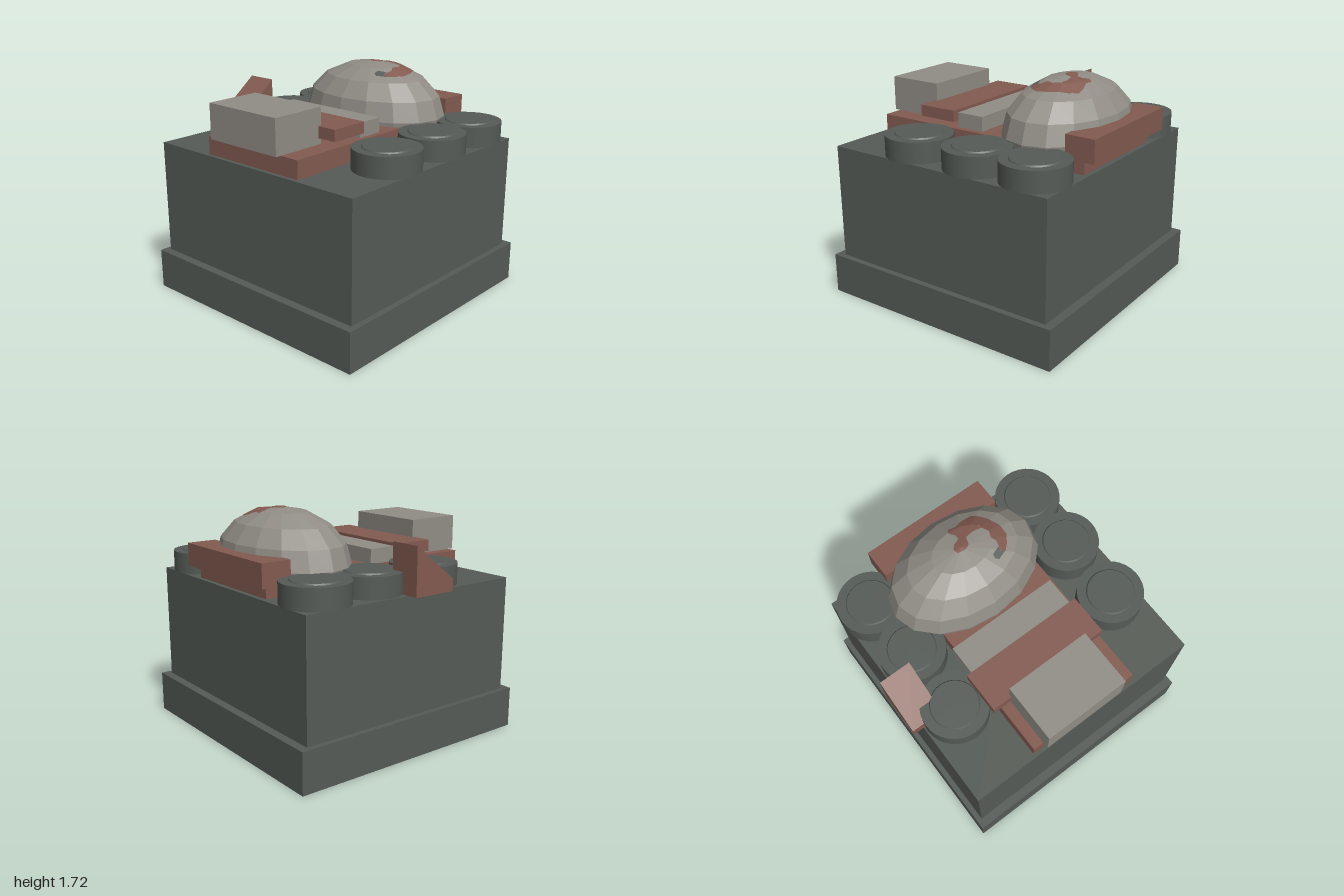
import * as THREE from 'three';

const mat = (name, color, extra = {}) => {
  const m = new THREE.MeshStandardMaterial({ color, ...extra });
  m.name = name;
  return m;
};

export function createModel() {
  const model = new THREE.Group();
  model.name = 'vehicleOnPlinth';
  const green = mat('darkGreenGrey', 0x555b56);
  const grey = mat('warmGrey', 0x918d86, { flatShading: true });
  const rust = mat('rustBrown', 0x835b51);

  const add = (name, geometry, material) => {
    const mesh = new THREE.Mesh(geometry, material);
    mesh.name = name;
    model.add(mesh);
    return mesh;
  };
  // Box given by its lower and upper limits on each axis
  const box = (name, [x0, x1], [y0, y1], [z0, z1], material) =>
    add(name, new THREE.BoxGeometry(x1 - x0, y1 - y0, z1 - z0), material)
      .position.set((x0 + x1) / 2, (y0 + y1) / 2, (z0 + z1) / 2);

  // Stepped plinth
  box('plinthBase', [-0.96, 1], [0, 0.305], [-0.98, 0.98], green);
  box('plinthBlock', [-0.92, 0.955], [0.305, 1.175], [-0.915, 0.915], green);

  // Chassis and the blocks stacked on it
  box('chassis', [-0.42, 0.46], [1.175, 1.31], [-0.88, 0.885], rust);
  box('rearBlock', [-0.51, 0.48], [1.27, 1.44], [-0.965, -0.74], rust);
  box('crossBar', [-0.45, 0.415], [1.31, 1.42], [-0.005, 0.212], grey);
  box('frontSlab', [-0.49, 0.46], [1.355, 1.44], [0.22, 0.525], rust);
  box('frontCab', [-0.34, 0.31], [1.31, 1.572], [0.5, 0.93], grey);

  // Six flat wheels with a slightly raised hub face
  const wheelGeo = new THREE.CylinderGeometry(0.245, 0.245, 0.155, 32);
  const hubGeo = new THREE.CylinderGeometry(0.17, 0.178, 0.01, 32);
  [[-0.7, -0.68], [-0.665, -0.21], [-0.665, 0.305],
    [0.735, -0.68], [0.735, -0.21], [0.735, 0.305]].forEach(([x, z]) => {
    add('wheel', wheelGeo, green).position.set(x, 1.2525, z);
    add('wheelHub', hubGeo, green).position.set(x, 1.335, z);
  });

  // Side wedge: profile in (z, y), extruded along x
  const profile = new THREE.Shape([[0.07, 1.175], [0.07, 1.525], [-0.27, 1.262], [-0.27, 1.175]]
    .map(([z, y]) => new THREE.Vector2(z, y)));
  const wedge = new THREE.ExtrudeGeometry(profile, { depth: 0.24, bevelEnabled: false });
  wedge.rotateY(Math.PI / 2);
  wedge.translate(-1, 0, 0);
  add('sideWedge', wedge, rust);

  // Faceted oval dome with a short skirt
  const C = { x: -0.015, y: 1.34, z: -0.47 }, R = { x: 0.607, y: 0.38, z: 0.42 }, SIDES = 16;
  const rings = [0, 1, 2, 3, 4].map(i => new THREE.Vector2(
    Math.max(Math.cos(i * Math.PI / 8), 0), Math.sin(i * Math.PI / 8)));
  const dome = new THREE.LatheGeometry([new THREE.Vector2(0.985, -0.13), ...rings], SIDES);
  dome.scale(R.x, R.y, R.z);
  dome.translate(C.x, C.y, C.z);
  add('dome', dome, grey);

  // Height of the faceted dome above a point of the plan
  const domeHeight = (x, z) => {
    const u = (x - C.x) / R.x, v = (z - C.z) / R.z, half = Math.PI / SIDES;
    let r = 0;
    for (let k = 0; k < SIDES; k++) {
      const a = (2 * k + 1) * half;
      r = Math.max(r, (u * Math.cos(a) + v * Math.sin(a)) / Math.cos(half));
    }
    const i = Math.max(0, rings.findIndex(p => p.x <= r) - 1);
    const a = rings[i], b = rings[i + 1];
    return C.y + R.y * (a.y + (b.y - a.y) * (a.x - r) / (a.x - b.x));
  };

  // Painted patch: plan outline, split finely and draped over the dome
  const patch = (name, outline, material) => {
    const shape = new THREE.Shape(outline.map(([x, z]) => new THREE.Vector2(x, -z)));
    const flat = new THREE.ShapeGeometry(shape).toNonIndexed().getAttribute('position');
    const out = [];
    const split = (a, b, c, level) => {
      if (level === 0) {
        for (const p of [a, b, c]) out.push(p.x, domeHeight(p.x, -p.y) + 0.004, -p.y);
        return;
      }
      const mid = (p, q) => p.clone().lerp(q, 0.5);
      const ab = mid(a, b), bc = mid(b, c), ca = mid(c, a);
      split(a, ab, ca, level - 1);
      split(ab, b, bc, level - 1);
      split(ca, bc, c, level - 1);
      split(ab, bc, ca, level - 1);
    };
    const at = i => new THREE.Vector3().fromBufferAttribute(flat, i);
    for (let i = 0; i < flat.count; i += 3) split(at(i), at(i + 1), at(i + 2), 4);
    const geo = new THREE.BufferGeometry();
    geo.setAttribute('position', new THREE.Float32BufferAttribute(out, 3));
    geo.computeVertexNormals();
    add(name, geo, material);
  };
  patch('domeRustPatch', [
    [-0.02, -0.62], [0, -0.65], [0.06, -0.64], [0.12, -0.66], [0.2, -0.665], [0.25, -0.62],
    [0.29, -0.55], [0.32, -0.48], [0.32, -0.4], [0.28, -0.34], [0.24, -0.3], [0.2, -0.31],
    [0.22, -0.38], [0.2, -0.42], [0.22, -0.47], [0.19, -0.52], [0.13, -0.53], [0.06, -0.52],
    [0.04, -0.46], [0, -0.44], [-0.06, -0.45], [-0.07, -0.49], [-0.04, -0.52], [0.01, -0.54],
    [0.01, -0.58]], rust);
  patch('domeGreenPatch', [
    [0.205, -0.34], [0.2, -0.31], [0.24, -0.3], [0.2, -0.285], [0.16, -0.27], [0.135, -0.285],
    [0.14, -0.315], [0.18, -0.33]], green);

  return model;
}
